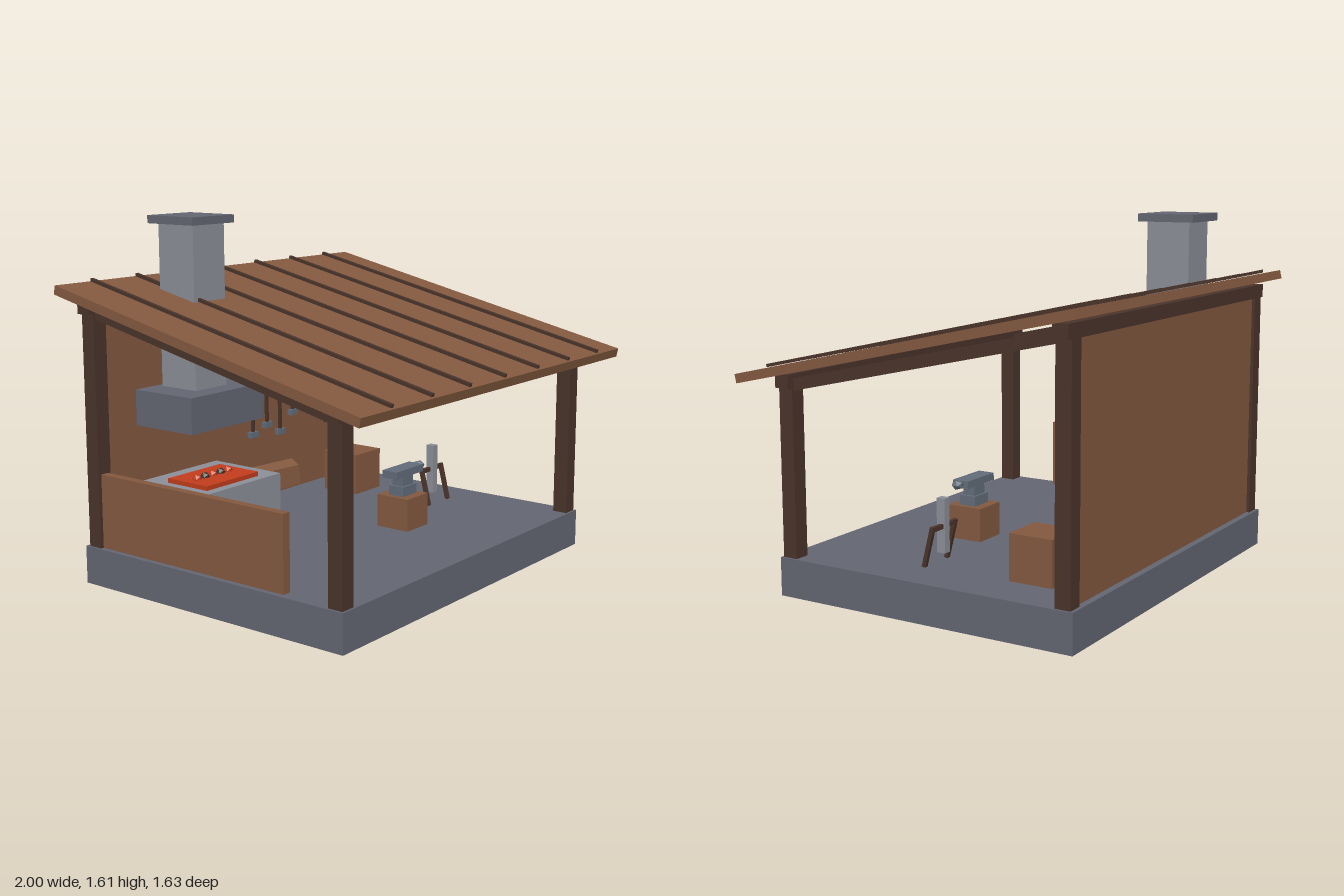
import * as THREE from 'three';

export function createModel() {
  const model = new THREE.Group();
  model.name = 'openSmithy';

  const mat = (name, color) => {
    const m = new THREE.MeshStandardMaterial({ color });
    m.name = name;
    return m;
  };
  const wood = mat('wood', 0x83593f);
  const darkWood = mat('darkWood', 0x4a342b);
  const stone = mat('stone', 0x8c8f98);
  const darkStone = mat('darkStone', 0x636672);
  const iron = mat('iron', 0x626d7a);
  const ember = mat('ember', 0xc23d1c);
  const coalMat = mat('coal', 0x43332c);

  const add = (name, geometry, material, x, y, z, parent = model) => {
    const mesh = new THREE.Mesh(geometry, material);
    mesh.name = name;
    mesh.position.set(x, y, z);
    parent.add(mesh);
    return mesh;
  };
  // Box centred on a point
  const box = (name, material, w, h, d, x, y, z, parent) =>
    add(name, new THREE.BoxGeometry(w, h, d), material, x, y, z, parent);
  // Box given by its extents on each axis
  const span = (name, material, [x0, x1], [y0, y1], [z0, z1], parent) =>
    box(name, material, x1 - x0, y1 - y0, z1 - z0, (x0 + x1) / 2, (y0 + y1) / 2, (z0 + z1) / 2, parent);
  const group = (name) => {
    const g = new THREE.Group();
    g.name = name;
    model.add(g);
    return g;
  };

  // Floor slab, back wall and low wall on the right-hand side
  span('floor', darkStone, [-0.915, 0.915], [0, 0.17], [-0.765, 0.665]);
  span('backWall', wood, [-0.835, 0.835], [0.17, 1.2], [-0.735, -0.695]);
  span('lowSideWall', wood, [-0.89, -0.85], [0.17, 0.5], [-0.68, 0.35]);

  // Timber frame
  const pitch = 0.2215;
  for (const s of [-1, 1]) {
    box('frontPost', darkWood, 0.07, 0.76, 0.07, s * 0.87, 0.55, 0.62);
    box('backPost', darkWood, 0.07, 1.06, 0.07, s * 0.87, 0.7, -0.715);
    box('sideRafter', darkWood, 0.05, 0.05, 1.37, s * 0.87, 1.0625, -0.05).rotation.x = pitch;
  }
  span('frontBeam', darkWood, [-0.93, 0.93], [0.905, 0.965], [0.586, 0.654]);
  span('backBeam', darkWood, [-0.93, 0.93], [1.2, 1.26], [-0.749, -0.681]);

  // Sloping roof with raised battens
  const roof = group('roof');
  roof.position.y = 1.1225;
  roof.rotation.x = pitch;
  box('roofSlab', wood, 2, 0.04, 1.66, 0, 0, 0, roof);
  for (let i = -3; i <= 3; i++) {
    box('roofBatten', darkWood, 0.016, 0.014, 1.645, i * 0.267, 0.03, 0, roof);
  }

  // Forge with hood and chimney
  const forge = group('forge');
  span('hearth', stone, [-0.735, -0.2], [0.17, 0.435], [-0.645, -0.25], forge);
  span('emberBed', ember, [-0.635, -0.3], [0.435, 0.455], [-0.53, -0.295], forge);
  for (let i = 0; i < 5; i++) {
    const lump = new THREE.IcosahedronGeometry(0.023, 0);
    add('coalLump', lump, i % 2 ? coalMat : ember, -0.57 + i * 0.05, 0.457, -0.415, forge);
  }
  span('hood', darkStone, [-0.7, -0.235], [0.69, 0.85], [-0.65, -0.315], forge);
  span('chimney', stone, [-0.565, -0.37], [0.85, 1.57], [-0.62, -0.415], forge);
  span('chimneyCap', darkStone, [-0.6, -0.335], [1.57, 1.605], [-0.652, -0.385], forge);

  // Tilted bellows beside the forge
  const bellows = box('bellows', wood, 0.2, 0.096, 0.1, -0.053, 0.37, -0.4);
  bellows.rotation.set(0, -0.58, 0.18, 'ZYX');

  // Anvil on its block
  const anvil = group('anvil');
  box('anvilBlock', wood, 0.16, 0.15, 0.17, 0.198, 0.245, 0.15, anvil);
  box('anvilFoot', iron, 0.107, 0.045, 0.08, 0.198, 0.3425, 0.15, anvil);
  box('anvilWaist', iron, 0.08, 0.05, 0.06, 0.198, 0.39, 0.15, anvil);
  box('anvilFace', iron, 0.21, 0.034, 0.08, 0.2, 0.428, 0.15, anvil);
  add('anvilHorn', new THREE.IcosahedronGeometry(0.028, 0), iron, 0.328, 0.43, 0.15, anvil).scale.y = 0.8;

  // Storage crate
  span('crate', wood, [0.5, 0.7], [0.17, 0.37], [-0.55, -0.35]);

  // Whetstone held in a leaning stand
  const stand = group('whetstoneStand');
  box('whetstone', stone, 0.036, 0.235, 0.04, 0.628, 0.336, 0.02, stand);
  for (const x of [0.548, 0.712]) {
    box('standLeg', darkWood, 0.018, 0.18, 0.018, x, 0.257, 0.036, stand).rotation.x = -0.25;
  }
  box('standBar', darkWood, 0.18, 0.02, 0.018, 0.63, 0.334, 0.016, stand);

  // Hanging tools on the back wall
  const rack = group('toolRack');
  span('rackBar', darkWood, [0.015, 0.485], [0.73, 0.752], [-0.695, -0.665], rack);
  [[0.095, 0.505], [0.198, 0.538], [0.297, 0.487], [0.397, 0.57]].forEach(([x, y]) => {
    span('toolHandle', darkWood, [x - 0.007, x + 0.007], [y, 0.735], [-0.68, -0.666], rack);
    box('toolHead', iron, 0.052, 0.028, 0.026, x, y, -0.672, rack);
  });

  return model;
}
